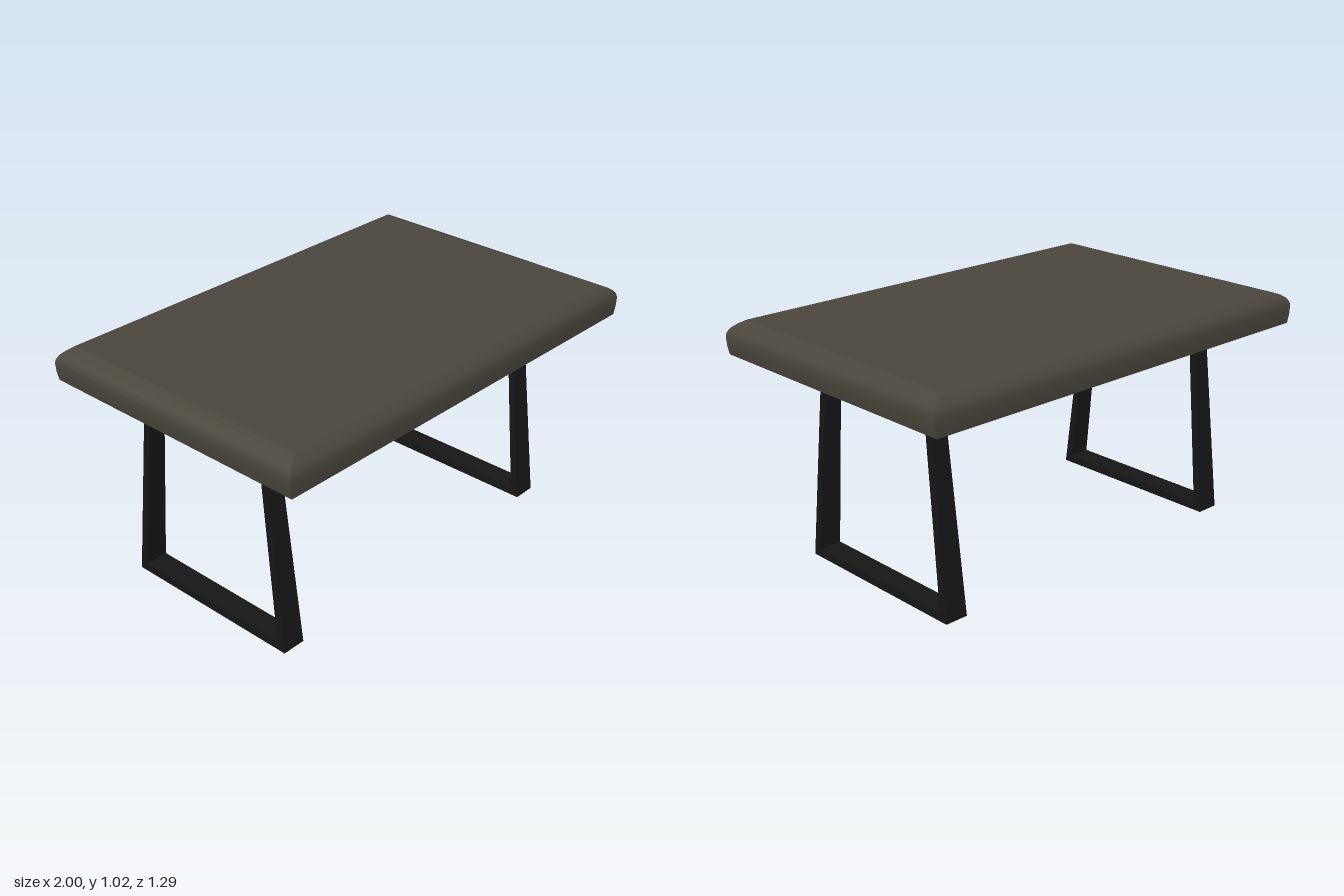
import * as THREE from 'three';
import { mergeGeometries, toCreasedNormals } from 'three/addons/utils/BufferGeometryUtils.js';

const seatMat = new THREE.MeshStandardMaterial({ color: 0x4a463c });
const legMat = new THREE.MeshStandardMaterial({ color: 0x161616 });

// Cushion rings, from the top edge round to the recess: half width x, height y, half depth z
const rings = [
  [0.925, 1.025, 0.6], [0.96, 1.012, 0.617], [0.985, 0.995, 0.633], [0.997, 0.977, 0.642],
  [1, 0.96, 0.645], [0.997, 0.92, 0.644], [0.99, 0.884, 0.641],
  [0.92, 0.877, 0.585], [0.92, 0.945, 0.585],
];
const corners = [[-1, 1], [1, 1], [1, -1], [-1, -1]];

// One mitred side of the cushion, between two neighbouring corners
function cushionSide(i) {
  const [a, b] = [corners[i], corners[(i + 1) % 4]];
  const pos = [], index = [];
  rings.forEach(([x, y, z], k) => {
    pos.push(a[0] * x, y, a[1] * z, b[0] * x, y, b[1] * z);
    if (k) {
      const t = 2 * k - 2;
      index.push(t, t + 2, t + 1, t + 1, t + 2, t + 3);
    }
  });
  const g = new THREE.BufferGeometry();
  g.setAttribute('position', new THREE.Float32BufferAttribute(pos, 3));
  g.setIndex(index);
  return toCreasedNormals(g, 0.7);
}

// Flat panel closing a ring, facing up or down
function panel([x, y, z], up) {
  const g = new THREE.PlaneGeometry(2 * x, 2 * z);
  g.rotateX(up ? -Math.PI / 2 : Math.PI / 2);
  g.translate(0, y, 0);
  g.deleteAttribute('uv');
  return g.toNonIndexed();
}

// Open trapezoid frame, drawn in (z, y) and tapering in width towards the top
function legFrame() {
  const top = 0.946;
  const half = [[0.425, 0], [0.421, 0.035], [0.322, top], [0.292, top], [0.387, 0.035]];
  const outline = [...half, ...half.slice().reverse().map(([z, y]) => [-z, y])];
  const shape = new THREE.Shape(outline.map(([z, y]) => new THREE.Vector2(z, y)));
  const g = new THREE.ExtrudeGeometry(shape, { depth: 1, bevelEnabled: false });
  g.translate(0, 0, -0.5);
  g.rotateY(Math.PI / 2);
  const p = g.attributes.position;
  for (let i = 0; i < p.count; i++) {
    p.setX(i, p.getX(i) * THREE.MathUtils.lerp(0.105, 0.073, p.getY(i) / top));
  }
  g.computeVertexNormals();
  return g;
}

export function createModel() {
  const model = new THREE.Group();
  model.name = 'bench';

  // Upholstered seat with a hollow underside
  const seat = new THREE.Mesh(mergeGeometries(corners.map((_, i) => cushionSide(i))), seatMat);
  seat.name = 'cushionSides';
  const top = new THREE.Mesh(panel(rings[0], true), seatMat);
  top.name = 'seatTop';
  const under = new THREE.Mesh(panel(rings[rings.length - 1], false), seatMat);
  under.name = 'seatUnderside';
  model.add(seat, top, under);

  // Leg frames, set slightly towards one end
  const frame = legFrame();
  for (const [name, x] of [['rightLegFrame', -0.782], ['leftLegFrame', 0.728]]) {
    const leg = new THREE.Mesh(frame, legMat);
    leg.name = name;
    leg.position.x = x;
    model.add(leg);
  }
  return model;
}
